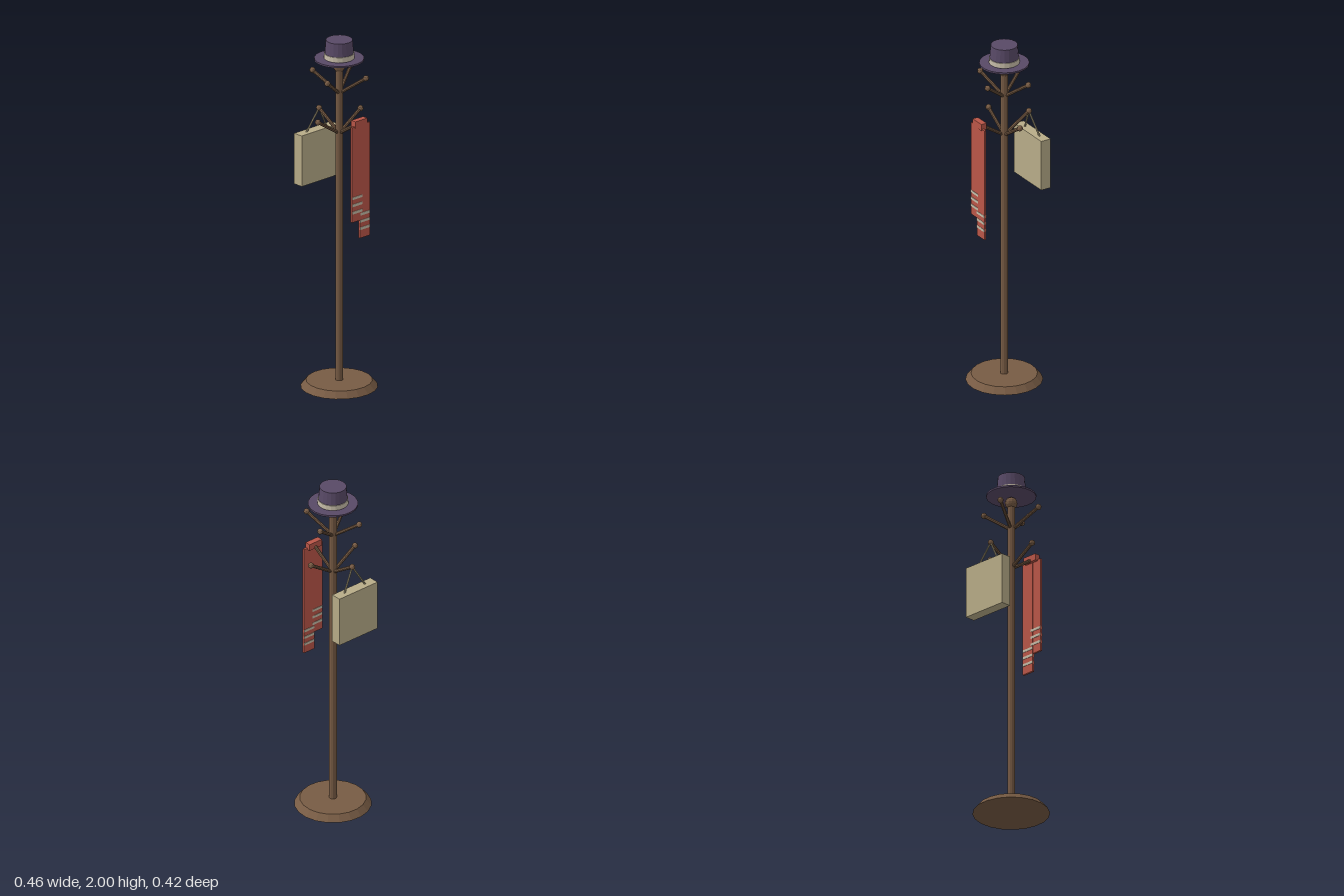
import * as THREE from 'three';

const mat = (name, color) => {
  const m = new THREE.MeshStandardMaterial({ color, flatShading: true });
  m.name = name;
  return m;
};

export function createModel() {
  const wood = mat('wood', 0x775b44);
  const felt = mat('purple felt', 0x584966);
  const cream = mat('cream trim', 0xc6bca8);
  const red = mat('red wool', 0xba5648);
  const canvas = mat('tan canvas', 0xb8ac88);

  const model = new THREE.Group();
  model.name = 'coatStand';
  // everything is built around the pole, which sits slightly off centre
  const stand = new THREE.Group();
  stand.name = 'stand';
  stand.position.x = 0.017;
  model.add(stand);

  const add = (parent, name, geo, material, x = 0, y = 0, z = 0) => {
    const mesh = new THREE.Mesh(geo, material);
    mesh.name = name;
    mesh.position.set(x, y, z);
    parent.add(mesh);
    return mesh;
  };

  // round rod between two points
  const rod = (parent, name, a, b, r, sides, material) => {
    const dir = b.clone().sub(a);
    const mid = a.clone().add(b).multiplyScalar(0.5);
    const mesh = add(parent, name, new THREE.CylinderGeometry(r, r, dir.length(), sides), material, mid.x, mid.y, mid.z);
    mesh.quaternion.setFromUnitVectors(new THREE.Vector3(0, 1, 0), dir.normalize());
    return mesh;
  };
  const v = (x, y, z) => new THREE.Vector3(x, y, z);

  // base, pole and finial
  add(stand, 'base', new THREE.CylinderGeometry(0.18, 0.21, 0.036, 20), wood, 0, 0.018);
  add(stand, 'pole', new THREE.CylinderGeometry(0.021, 0.021, 1.81, 12), wood, 0, 0.935);
  add(stand, 'finial', new THREE.SphereGeometry(0.034, 12, 8), wood, 0, 1.848);

  // two tiers of four arms with ball ends
  const tier = (name, rootY, tipY, angle) => {
    const group = new THREE.Group();
    group.name = name;
    group.rotation.y = -angle;
    stand.add(group);
    for (let i = 0; i < 4; i++) {
      const c = Math.cos(i * Math.PI / 2), s = Math.sin(i * Math.PI / 2);
      rod(group, 'arm', v(0, rootY, 0), v(0.158 * c, tipY, 0.158 * s), 0.0095, 8, wood);
      add(group, 'armBall', new THREE.SphereGeometry(0.0165, 10, 6), wood, 0.158 * c, tipY, 0.158 * s);
    }
    return group;
  };
  tier('upperArms', 1.69, 1.8, 0);
  const lower = tier('lowerArms', 1.46, 1.562, 0.4);

  // hat resting on the finial
  const hat = new THREE.Group();
  hat.name = 'hat';
  stand.add(hat);
  add(hat, 'hatBrim', new THREE.CylinderGeometry(0.136, 0.136, 0.01, 20), felt, 0, 1.89);
  add(hat, 'hatCrown', new THREE.CylinderGeometry(0.073, 0.082, 0.107, 20), felt, 0, 1.9465);
  add(hat, 'hatBand', new THREE.CylinderGeometry(0.083, 0.084, 0.028, 20), cream, 0, 1.911);

  // scarf folded over one lower arm
  const scarf = new THREE.Group();
  scarf.name = 'scarf';
  lower.add(scarf);
  add(scarf, 'scarfFold', new THREE.BoxGeometry(0.034, 0.038, 0.088), red, 0.158, 1.564, 0);
  for (const [z, bottom, x] of [[0.028, 1.005, 0.166], [-0.031, 0.9, 0.165]]) {
    const h = 1.553 - bottom;
    add(scarf, 'scarfPanel', new THREE.BoxGeometry(0.012, h, 0.075), red, x, bottom + h / 2, z);
    for (const dy of [0.055, 0.097, 0.138])
      add(scarf, 'scarfStripe', new THREE.BoxGeometry(0.016, 0.015, 0.073), cream, x, bottom + dy, z);
  }

  // bag hanging from the opposite lower arm
  const bag = new THREE.Group();
  bag.name = 'bag';
  lower.add(bag);
  add(bag, 'bagBody', new THREE.BoxGeometry(0.06, 0.292, 0.273), canvas, -0.18, 1.29, 0);
  for (const side of [-1, 1])
    rod(bag, 'bagHandle', v(-0.18, 1.43, 0.076 * side), v(-0.158, 1.562, 0), 0.005, 6, canvas);

  return model;
}
